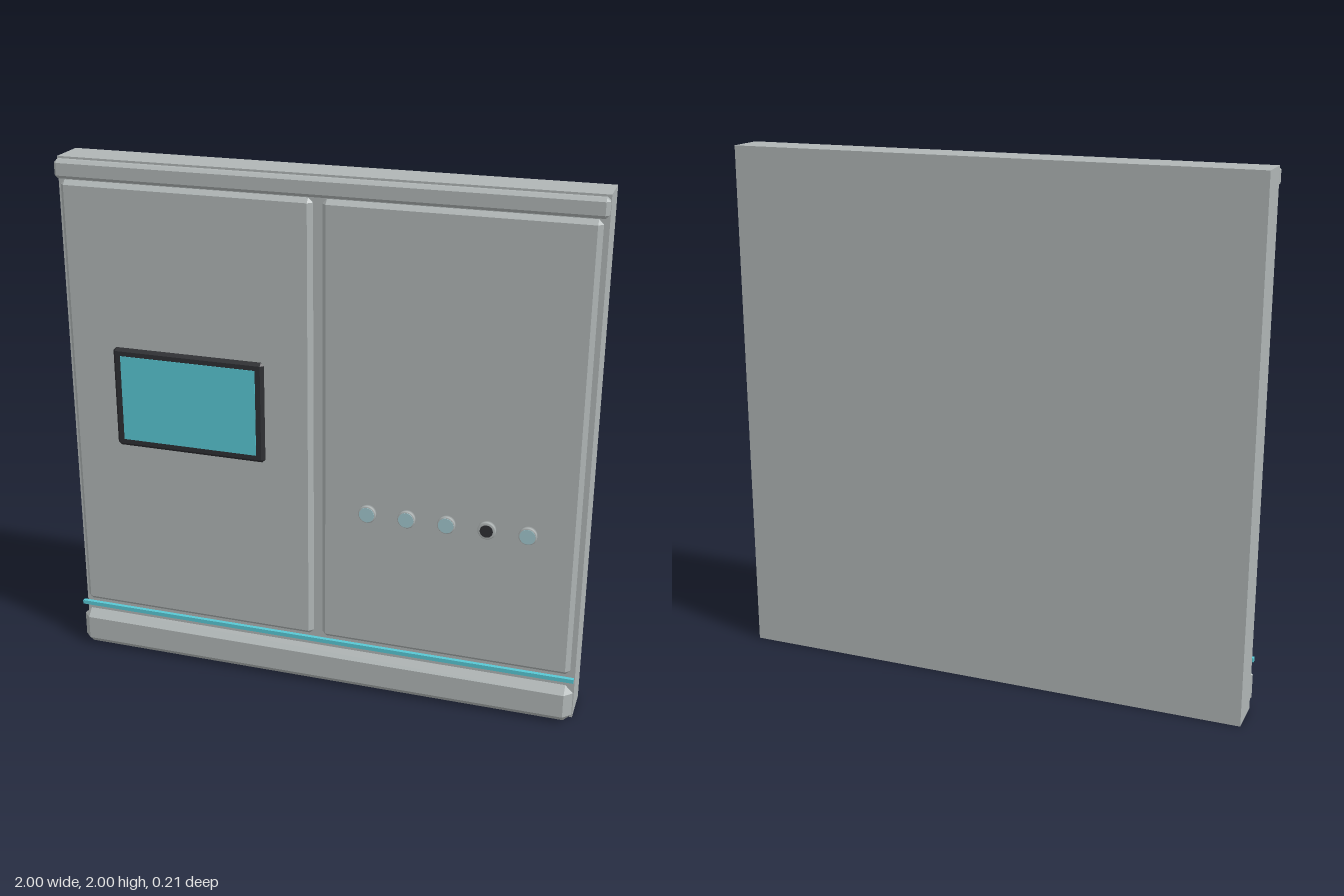
import * as THREE from 'three';
import { ConvexGeometry } from 'three/addons/geometries/ConvexGeometry.js';

const mat = (name, color) => new THREE.MeshStandardMaterial({ name, color });

// Box with every edge cut at 45 degrees
function chamferBox(w, h, d, c) {
  const points = new Map();
  for (const sx of [-1, 1]) for (const sy of [-1, 1]) for (const sz of [-1, 1]) {
    for (const [cx, cy, cz] of [[0, c, c], [c, 0, c], [c, c, 0]]) {
      const p = new THREE.Vector3(sx * (w / 2 - cx), sy * (h / 2 - cy), sz * (d / 2 - cz));
      points.set(p.toArray().map(v => Math.round(v * 1e5)).join(), p);
    }
  }
  return new ConvexGeometry([...points.values()]);
}

export function createModel() {
  const model = new THREE.Group();
  model.name = 'controlCabinet';
  const grey = mat('metalGrey', 0xb0b6b6);
  const dark = mat('charcoal', 0x2e2f33);
  const cyan = mat('screenCyan', 0x58c8d4);
  const pale = mat('paleBlue', 0xa2c8ce);

  function add(name, geometry, material, x, y, z) {
    const mesh = new THREE.Mesh(geometry, material);
    mesh.name = name;
    mesh.position.set(x, y, z);
    model.add(mesh);
    return mesh;
  }

  // Wall slab
  add('body', new THREE.BoxGeometry(2, 2, 0.15), grey, 0, 1, -0.03);

  // Pair of doors
  for (const s of [-1, 1]) {
    add(s < 0 ? 'rightDoor' : 'leftDoor', chamferBox(0.965, 1.725, 0.036, 0.0165), grey, s * 0.5, 1.0575, 0.063);
  }

  // Top trim, plinth and accent strip
  add('topTrim', chamferBox(2, 0.07, 0.04, 0.012), grey, 0, 1.96, 0.065);
  add('plinth', chamferBox(2, 0.154, 0.06, 0.03), grey, 0, 0.077, 0.075);
  add('accentStrip', new THREE.BoxGeometry(2, 0.016, 0.015), cyan, 0, 0.182, 0.0825);

  // Display
  add('displayFrame', chamferBox(0.6, 0.396, 0.025, 0.012), dark, -0.5, 1.104, 0.084);
  add('displayScreen', new THREE.BoxGeometry(0.536, 0.336, 0.004), cyan, -0.5, 1.104, 0.0965);

  // Row of buttons: bevelled grey collar with an inset coloured face
  const profile = [[0, 0], [0.034, 0], [0.034, 0.016], [0.03, 0.02], [0, 0.02]];
  const collar = new THREE.LatheGeometry(profile.map(p => new THREE.Vector2(...p)), 24);
  [0.2, 0.35, 0.5, 0.65, 0.8].forEach((x, i) => {
    add('buttonCollar', collar, grey, x, 0.755, 0.08).rotation.x = Math.PI / 2;
    const socket = i === 3;
    const face = new THREE.CylinderGeometry(socket ? 0.024 : 0.029, socket ? 0.024 : 0.029, 0.004, 24);
    add(socket ? 'darkButtonFace' : 'buttonFace', face, socket ? dark : pale, x, 0.755, 0.1).rotation.x = Math.PI / 2;
  });

  return model;
}
